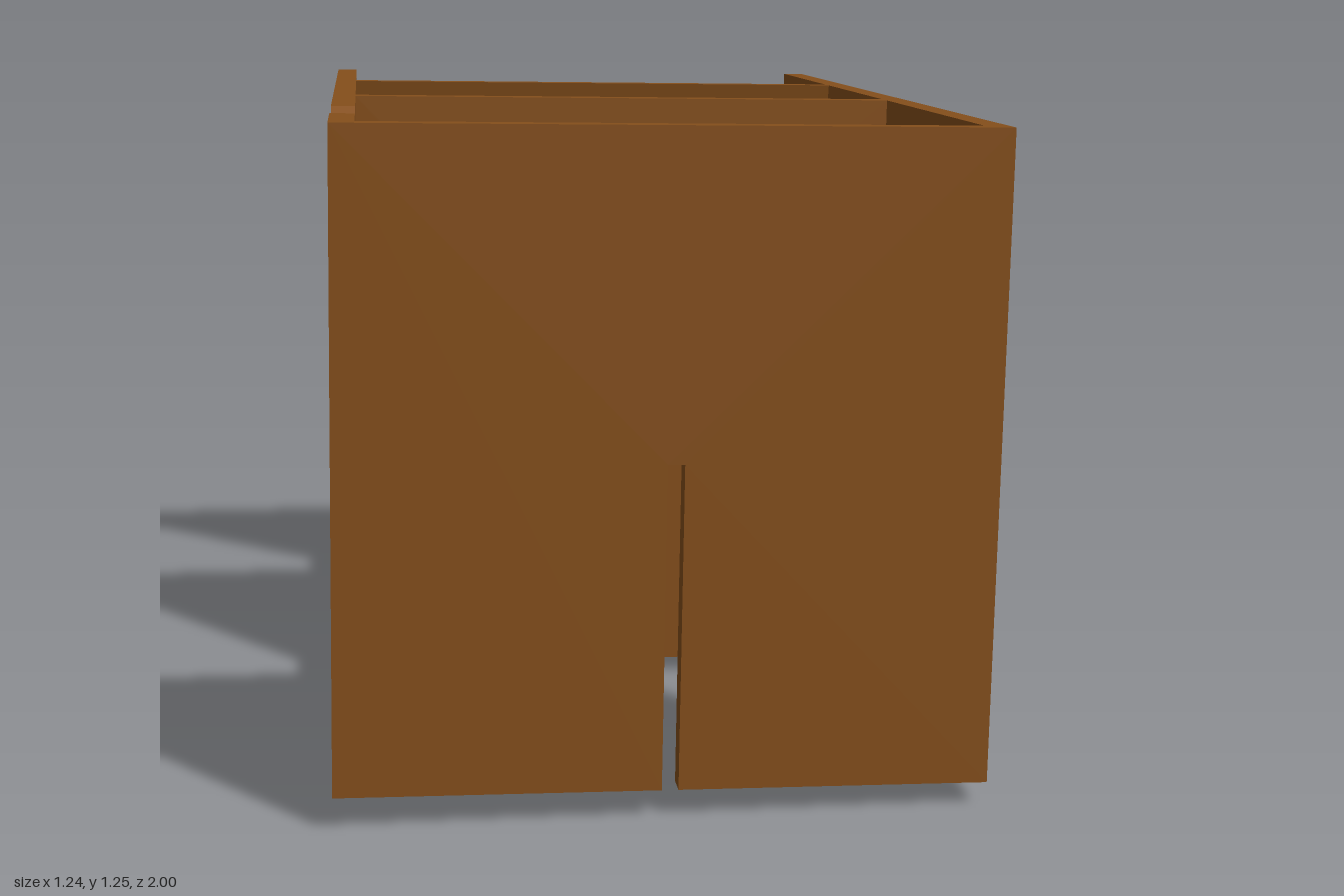
import * as THREE from 'three';

const wood = new THREE.MeshStandardMaterial({ color: 0x854f1b, flatShading: true });

// Overall limits of the frame, in its own untilted axes
const W = 0.59, T = 0.045, TOP = 0.6, BOTTOM = -0.585, FRONT = 0.974, BACK = -0.972, RAIL = 0.115;
const IN = W - T;          // inner face of the rails
const JOIN = FRONT - T;    // where the rails meet the front panel

export function createModel() {
  const model = new THREE.Group();
  const frame = new THREE.Group();
  frame.name = 'brokenFrame';
  model.add(frame);

  const add = (name, geometry, x = 0, y = 0, z = 0) => {
    const mesh = new THREE.Mesh(geometry, wood);
    mesh.name = name;
    mesh.position.set(x, y, z);
    frame.add(mesh);
    return mesh;
  };
  const extrude = (points, depth) => new THREE.ExtrudeGeometry(
    new THREE.Shape(points.map(([u, v]) => new THREE.Vector2(u, v))),
    { depth, bevelEnabled: false });
  // Outline drawn as [z, y], given thickness from x0 to x1
  const sideProfile = (name, points, x0, x1) =>
    add(name, extrude(points, x1 - x0).rotateY(-Math.PI / 2), x1);
  const rect = (z0, z1, y0, y1) => [[z0, y0], [z1, y0], [z1, y1], [z0, y1]];

  // Front panel with a narrow split rising from its lower edge
  add('frontPanel', extrude([
    [-W, BOTTOM], [-0.005, BOTTOM], [-0.005, 0.01], [0.025, 0.01],
    [0.025, BOTTOM], [W, BOTTOM], [W, TOP], [-W, TOP],
  ], T), 0, 0, JOIN);

  // Middle panel with a wedge-shaped break in its left edge
  add('middlePanel', extrude([
    [-IN, BOTTOM], [IN, BOTTOM], [IN, 0], [-0.05, 0.1], [IN, 0.2], [IN, TOP], [-IN, TOP],
  ], T), 0, 0, 0.142);

  // Leaning back panel
  sideProfile('leaningPanel', [
    [-0.693, BOTTOM], [-0.649, BOTTOM], [-0.405, TOP], [-0.449, TOP],
  ], -IN, IN);

  // Upper rails, the right one chipped along its top
  sideProfile('upperLeftRail', rect(BACK, JOIN, TOP - RAIL, TOP), IN, W);
  sideProfile('upperRightRail', [
    [BACK, TOP - RAIL], [JOIN, TOP - RAIL], [JOIN, TOP], [0.73, TOP],
    [0.69, TOP - 0.03], [0.59, TOP - 0.055], [0.52, TOP], [BACK, TOP],
  ], -W, -IN);

  // Lower rails, each ending in a worn or broken tip
  const lowY = BOTTOM + RAIL / 2;
  const lowerRail = (name, side, end, tipLength, wear) => {
    const x = side * (W - T / 2), start = end + tipLength;
    sideProfile(name, rect(start, JOIN, BOTTOM, BOTTOM + RAIL), x - T / 2, x + T / 2);
    const tip = new THREE.BoxGeometry(T, RAIL, tipLength, 1, 2, 1).toNonIndexed();
    const p = tip.attributes.position, v = new THREE.Vector3();
    for (let i = 0; i < p.count; i++) {
      v.fromBufferAttribute(p, i);
      if (v.z < 0) wear(v);
      p.setXYZ(i, v.x, v.y, v.z);
    }
    tip.computeVertexNormals();
    add(name + 'Tip', tip, x, lowY, end + tipLength / 2);
  };
  lowerRail('lowerLeftRail', 1, -0.72, 0.09, v => {
    if (Math.abs(v.y) < 0.01) { v.z += 0.02; if (v.x > 0) v.x -= 0.02; }
  });
  lowerRail('lowerRightRail', -1, BACK, 0.2, v => {
    if (v.y < -0.01 && v.x > 0) v.y += 0.025;
  });

  // The whole frame sits slightly askew
  frame.rotation.set(-0.025, -0.02, -0.018);
  frame.position.y = 0.614;
  return model;
}
